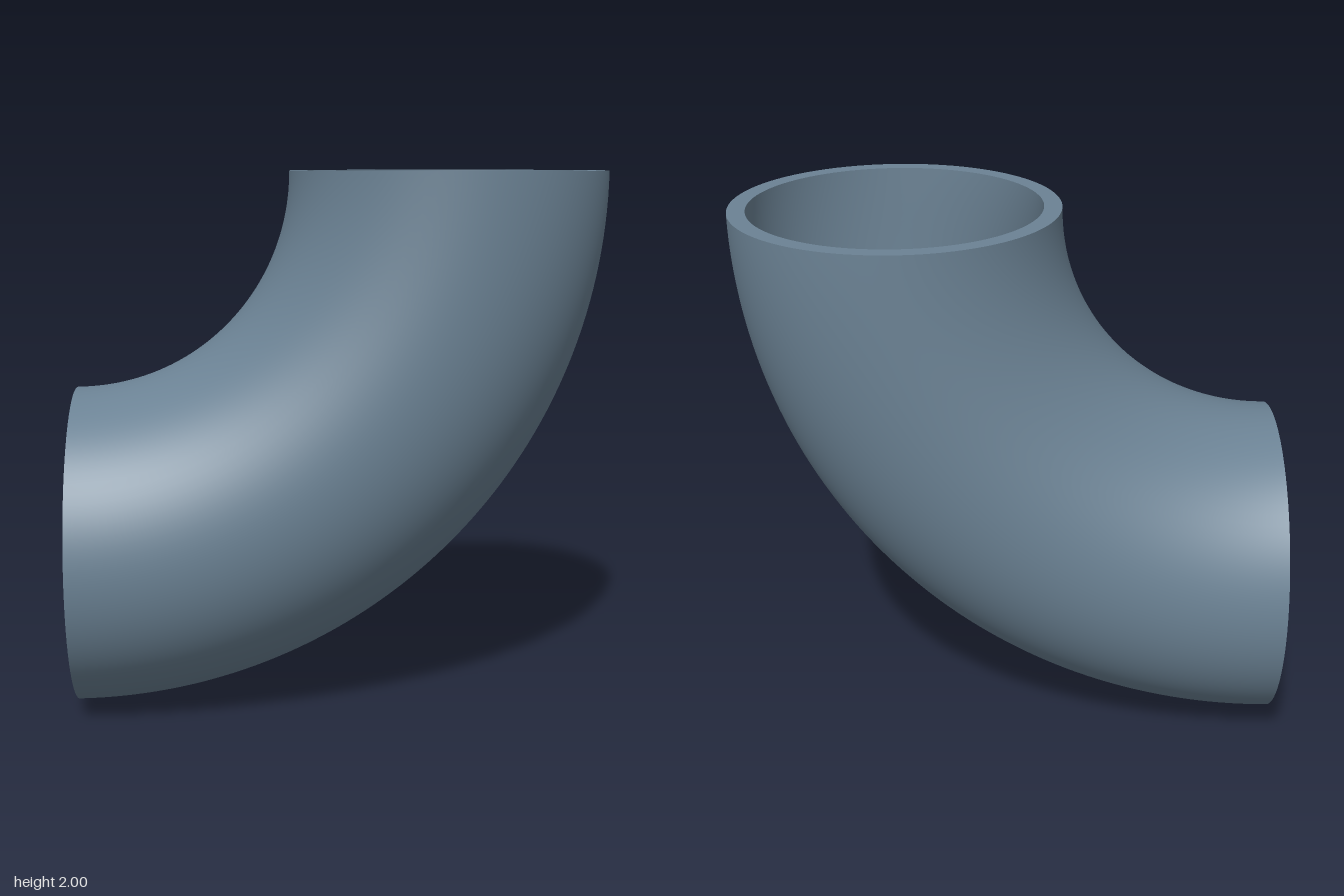
import * as THREE from 'three';

const BEND = 1.405;   // bend radius of the pipe's centre line
const OUTER = 0.595;  // outer pipe radius
const INNER = 0.53;   // bore radius
const SIDES = 96;
const STEPS = 64;

// Quarter-turn pipe surface, swept from the side opening to the top opening
function bendSurface(radius) {
  return new THREE.TorusGeometry(BEND, radius, SIDES, STEPS, Math.PI / 2).rotateZ(-Math.PI / 2);
}

// Turn a surface inside out so that it is seen from within
function turnInward(geometry) {
  const index = geometry.index;
  for (let i = 0; i < index.count; i += 3) {
    const a = index.getX(i);
    index.setX(i, index.getX(i + 2));
    index.setX(i + 2, a);
  }
  const normal = geometry.attributes.normal;
  for (let i = 0; i < normal.count; i++) {
    normal.setXYZ(i, -normal.getX(i), -normal.getY(i), -normal.getZ(i));
  }
  return geometry;
}

export function createModel() {
  const group = new THREE.Group();
  group.name = 'pipeElbow';
  const material = new THREE.MeshStandardMaterial({ color: 0x6b8294 });

  const add = (name, geometry) => {
    const mesh = new THREE.Mesh(geometry, material);
    mesh.name = name;
    group.add(mesh);
    return mesh;
  };

  // Pipe walls
  add('outerWall', bendSurface(OUTER));
  add('innerWall', turnInward(bendSurface(INNER)));

  // Flat rims closing the wall thickness at both openings
  const rim = new THREE.RingGeometry(INNER, OUTER, SIDES);
  const topRim = add('topRim', rim);
  topRim.rotation.x = -Math.PI / 2;
  topRim.position.set(BEND, 0, 0);
  const sideRim = add('sideRim', rim);
  sideRim.rotation.y = -Math.PI / 2;
  sideRim.position.set(0, -BEND, 0);

  // Bend centre sits at the upper left corner
  group.children.forEach((mesh) => mesh.position.add(new THREE.Vector3(-1, 2, 0)));
  return group;
}
